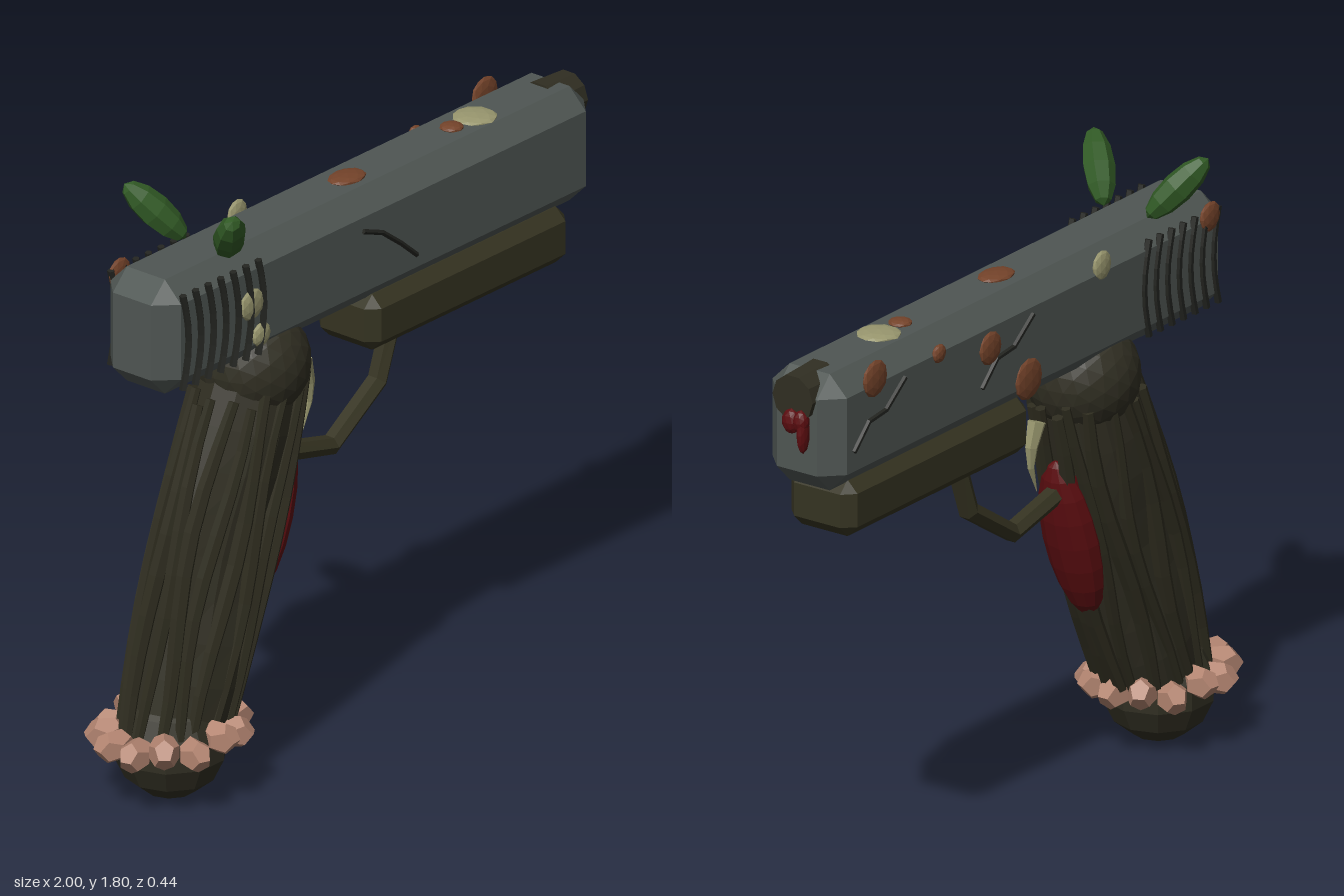
import * as THREE from 'three';
import { ConvexGeometry } from 'three/addons/geometries/ConvexGeometry.js';

const mat = (name, color) => {
  const m = new THREE.MeshStandardMaterial({ color });
  m.name = name;
  return m;
};
const V = (x, y, z) => new THREE.Vector3(x, y, z);

// Faceted normals baked into the geometry
function faceted(geo) {
  const g = geo.index ? geo.toNonIndexed() : geo;
  g.computeVertexNormals();
  return g;
}

// Box with every edge and corner cut off by c
function chamferBox(w, h, d, c) {
  const pts = [];
  const a = w / 2, b = h / 2, e = d / 2;
  for (const x of [-1, 1]) for (const y of [-1, 1]) for (const z of [-1, 1]) {
    pts.push(V(x * a, y * (b - c), z * (e - c)), V(x * (a - c), y * b, z * (e - c)), V(x * (a - c), y * (b - c), z * e));
  }
  return new ConvexGeometry(pts);
}

// Sweep an ellipse along points; radius(t) gives [in-plane, sideways]
function sweep(pts, radius, sides = 6) {
  const n = pts.length - 1;
  const geo = new THREE.CylinderGeometry(1, 1, 1, sides, n);
  const p = geo.attributes.position;
  const Z = V(0, 0, 1);
  for (let i = 0; i < p.count; i++) {
    const row = Math.round((0.5 - p.getY(i)) * n);
    const tangent = pts[Math.min(n, row + 1)].clone().sub(pts[Math.max(0, row - 1)]).normalize();
    const side = tangent.negate().cross(Z).normalize();
    const [a, b] = radius(row / n);
    const q = pts[row].clone().addScaledVector(side, p.getX(i) * a).addScaledVector(Z, p.getZ(i) * b);
    p.setXYZ(i, q.x, q.y, q.z);
  }
  return geo;
}

export function createModel() {
  const root = new THREE.Group();
  root.name = 'overgrownSidearm';
  const metal = mat('grey metal', 0x4f5653);
  const bark = mat('dark bark', 0x302e22);
  const wood = mat('olive wood', 0x353321);
  const vine = mat('vine brown', 0x2d2b1e);
  const groove = mat('groove black', 0x22231f);
  const rust = mat('rust', 0x74432a);
  const lichen = mat('lichen cream', 0x98966e);
  const leafGreen = mat('leaf green', 0x315a25);
  const red = mat('sap red', 0x5c0d10);
  const pink = mat('fungus pink', 0xb28470);

  const add = (name, geo, material, x = 0, y = 0, z = 0) => {
    const m = new THREE.Mesh(faceted(geo), material);
    m.name = name;
    m.position.set(x, y, z);
    root.add(m);
    return m;
  };

  // Slide and lower rail
  add('slide', chamferBox(1.86, 0.35, 0.26, 0.06), metal, 0.03, 1.455, -0.004);
  add('lowerRail', chamferBox(0.86, 0.17, 0.23, 0.035), wood, 0.43, 1.205, 0);

  // Curved ribs on both sides of the slide
  for (const s of [-1, 1]) {
    for (let i = 0; i < 7; i++) {
      const x = -0.84 + i * 0.054;
      const pts = [];
      for (let k = 0; k <= 6; k++) {
        const t = k / 6;
        pts.push(V(x + 0.025 * Math.sin(Math.PI * t), 1.6 - 0.29 * t, s * 0.133));
      }
      add('slideRib', sweep(pts, () => [0.01, 0.012], 5), groove);
    }
  }

  // Cracks in the slide walls
  const crack = (pts, z) =>
    add('crack', sweep(pts.map(([x, y]) => V(x, y, z)), () => [0.008, 0.008], 5), groove);
  crack([[-0.06, 1.53], [0.02, 1.5], [0.1, 1.44], [0.17, 1.38]], 0.129);
  for (const x of [0.87, 0.27]) {
    crack([[x, 1.4], [x - 0.07, 1.47], [x - 0.15, 1.48], [x - 0.24, 1.55]], -0.136);
  }

  // Flat rust and lichen patches: on top (y axis) or on a side wall (z axis)
  const patch = (name, material, x, y, z, rx, rOther, onTop) => {
    const m = add(name, new THREE.IcosahedronGeometry(1, 1), material, x, y, z);
    m.scale.set(rx, onTop ? 0.013 : rOther, onTop ? rOther : 0.014);
  };
  patch('rustPatch', rust, 0.02, 1.632, 0, 0.065, 0.046, true);
  patch('rustPatch', rust, 0.47, 1.632, 0, 0.035, 0.035, true);
  patch('lichenPatch', lichen, 0.57, 1.63, 0, 0.065, 0.065, true);
  for (const [x, y, r] of [[0.77, 1.59, 0.055], [0.47, 1.57, 0.028], [0.23, 1.51, 0.05], [0.05, 1.36, 0.062], [-0.8, 1.58, 0.045]]) {
    patch('rustPatch', rust, x, y, -0.135, r, r, false);
  }
  patch('lichenPatch', lichen, -0.3, 1.59, -0.13, 0.04, 0.045, false);
  patch('lichenPatch', lichen, -0.54, 1.47, 0.13, 0.05, 0.048, false);
  patch('lichenPatch', lichen, -0.5, 1.365, 0.13, 0.037, 0.037, false);

  // Muzzle stub with sap drips
  add('muzzle', new THREE.CylinderGeometry(0.07, 0.077, 0.13, 10), bark, 0.91, 1.563, 0).rotation.z = -Math.PI / 2;
  for (const [y, z, ry, rz] of [[1.495, 0.003, 0.038, 0.03], [1.465, -0.037, 0.06, 0.016], [1.5, -0.03, 0.035, 0.024]]) {
    add('sapDrip', new THREE.IcosahedronGeometry(1, 1), red, 0.975, y, z).scale.set(0.024, ry, rz);
  }

  // Leaves
  for (const s of [-1, 1]) {
    const base = V(-0.585, 1.63, s * 0.075), tip = V(-0.705, 1.8, s * 0.2);
    const dir = tip.clone().sub(base);
    const leaf = add('leaf', new THREE.SphereGeometry(1, 7, 6), leafGreen);
    leaf.position.copy(base).add(tip).multiplyScalar(0.5);
    leaf.quaternion.setFromUnitVectors(V(0, 1, 0), dir.clone().normalize());
    leaf.scale.set(0.05, dir.length() / 2, 0.045);
  }

  // Grip: core, knob on top and rounded butt
  const gripX = (t) => -0.4 - 0.31 * t;
  const gripY = (t) => 1.15 - 0.93 * t;
  const core = [];
  for (let i = 0; i <= 8; i++) core.push(V(gripX(i / 8), gripY(i / 8), 0));
  add('gripCore', sweep(core, (t) => [0.155 + 0.03 * Math.sin(Math.PI * t), 0.135 + 0.01 * Math.sin(9 * t)], 12), bark);
  add('gripKnob', new THREE.IcosahedronGeometry(0.166, 3), bark, -0.385, 1.208, 0);
  add('gripButt', new THREE.SphereGeometry(0.167, 10, 7), bark, -0.74, 0.167, 0);

  // Vines running down the grip
  const count = 18;
  for (let i = 0; i < count; i++) {
    const a = ((i + 0.5) / count) * Math.PI * 2;
    const pts = [];
    const start = 0.02 * Math.sin(i * 2.3);
    for (let k = 0; k <= 8; k++) {
      const t = start + (k / 8) * (1 - start);
      const b = a + 0.09 * Math.sin(t * 6 + i * 1.7);
      const rx = 0.185 + 0.035 * Math.sin(Math.PI * t);
      pts.push(V(gripX(t) + rx * Math.cos(b), gripY(t), 0.134 * Math.sin(b)));
    }
    const r = 0.024 + 0.005 * Math.sin(i * 3.1);
    add('gripVine', sweep(pts, (t) => [r * (0.65 + 0.35 * Math.sin(Math.PI * t)), r * (0.65 + 0.35 * Math.sin(Math.PI * t))], 6), vine);
  }

  // Red swelling on the front of the grip
  const swelling = add('redSwelling', new THREE.SphereGeometry(1, 12, 10), red, -0.335, 0.73, 0);
  swelling.scale.set(0.063, 0.265, 0.092);
  swelling.rotation.z = -0.3;

  // Ring of fungus lumps around the butt
  for (let i = 0; i < 13; i++) {
    const a = (i / 13) * Math.PI * 2;
    const lump = add('fungusLump', new THREE.DodecahedronGeometry(1, 0), pink,
      -0.74 + 0.2 * Math.cos(a), 0.2 + 0.012 * Math.sin(i * 2.7), 0.16 * Math.sin(a));
    lump.scale.set(0.066, 0.05, 0.046);
    lump.rotation.y = -a;
  }

  // Branch guard and thorn trigger
  add('guard', sweep([V(0.22, 1.16, 0), V(0.15, 0.965, 0), V(-0.05, 0.835, 0), V(-0.3, 0.895, 0)],
    () => [0.03, 0.032], 6), wood);
  add('thornTrigger', sweep([V(-0.17, 1.13, 0), V(-0.145, 1.06, 0), V(-0.143, 1.0, 0), V(-0.17, 0.92, 0)],
    (t) => [0.03 * (1 - t) + 0.001, 0.025 * (1 - t) + 0.001], 6), lichen);

  return root;
}
